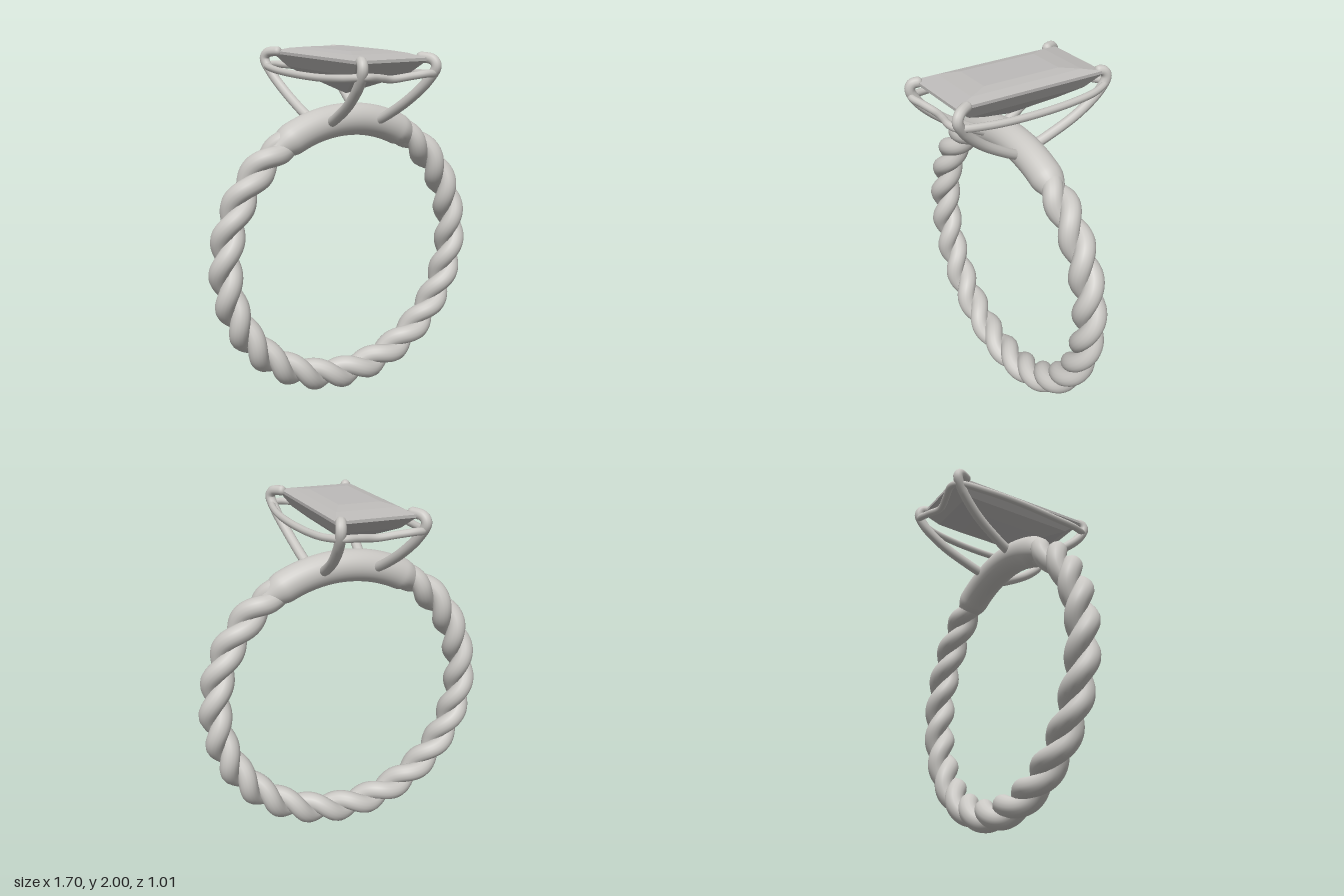
import * as THREE from 'three';
import { mergeVertices } from 'three/addons/utils/BufferGeometryUtils.js';

const metal = new THREE.MeshStandardMaterial({ name: 'metal', color: 0xc9c7c3 });
const stone = new THREE.MeshStandardMaterial({ name: 'stone', color: 0xbdbbb9 });

const CENTRE_Y = 0.852;
const RING_R = 0.76;
const rad = THREE.MathUtils.degToRad;

// Curve from a plain function of t
function curveOf(fn) {
  const curve = new THREE.Curve();
  curve.arcLengthDivisions = 1000;
  curve.getPoint = (t, target = new THREE.Vector3()) => target.copy(fn(t));
  return curve;
}

// Smooth tube; radiusAt(u, length) scales each ring about the path
function sweep(name, curve, segments, radius, sides, radiusAt, closed = false) {
  let geo = new THREE.TubeGeometry(curve, segments, radius, sides, closed);
  if (radiusAt) {
    const pos = geo.attributes.position;
    const v = new THREE.Vector3();
    const length = curve.getLength();
    for (let i = 0; i <= segments; i++) {
      const c = curve.getPointAt(i / segments);
      const k = radiusAt(i / segments, length);
      for (let j = 0; j <= sides; j++) {
        const n = i * (sides + 1) + j;
        v.fromBufferAttribute(pos, n).sub(c).multiplyScalar(k).add(c);
        pos.setXYZ(n, v.x, v.y, v.z);
      }
    }
  }
  geo.deleteAttribute('uv');
  geo.deleteAttribute('normal');
  geo = mergeVertices(geo, 1e-5);
  geo.computeVertexNormals();
  const mesh = new THREE.Mesh(geo, metal);
  mesh.name = name;
  return mesh;
}

// Point on the hoop: angle, radial offset, depth offset
function hoopPoint(angle, dr, dz) {
  const r = RING_R + dr;
  return new THREE.Vector3(r * Math.cos(angle), CENTRE_Y + r * Math.sin(angle), dz);
}

// One of the two twisted strands, converging where it enters the plain shoulder
function strand(phase) {
  const curve = curveOf((t) => {
    const deg = THREE.MathUtils.lerp(119, 421, t);
    const edge = Math.min(deg - 119, 421 - deg);
    const offset = 0.038 * THREE.MathUtils.lerp(0.6, 1, THREE.MathUtils.smoothstep(edge, 0, 10));
    const twist = 12 * rad(deg - 270) + Math.PI / 2 + phase;
    return hoopPoint(rad(deg), offset * Math.sin(twist), offset * Math.cos(twist));
  });
  return sweep('twistedStrand', curve, 480, 0.055, 16);
}

// Plain upper part of the hoop, tapering into the twist
function shoulder() {
  const curve = curveOf((t) => hoopPoint(rad(THREE.MathUtils.lerp(52, 128, t)), 0, 0));
  const taper = (u) => THREE.MathUtils.lerp(0.5, 1, THREE.MathUtils.smoothstep(Math.min(u, 1 - u), 0, 0.15));
  return sweep('shoulder', curve, 80, 0.09, 28, taper);
}

// Prong with domed ends
function prong(points) {
  const r = 0.028;
  const curve = new THREE.CatmullRomCurve3(points.map((p) => new THREE.Vector3(...p)));
  const dome = (u, length) => {
    const d = Math.min(1, (Math.min(u, 1 - u) * length) / r);
    return Math.sqrt(1 - (1 - d) ** 2);
  };
  return sweep('prong', curve, 140, r, 12, dome);
}

// Step-cut stone from stacked rectangles [halfWidth, y, halfDepth], top to bottom
function gem() {
  const layers = [
    [0.115, 2.0, 0.225],
    [0.17, 1.989, 0.33],
    [0.215, 1.968, 0.44],
    [0.215, 1.952, 0.44],
    [0.175, 1.885, 0.35],
    [0.115, 1.836, 0.23],
    [0, 1.755, 0],
  ];
  const corners = layers.map(([x, y, z]) => [[x, y, z], [x, y, -z], [-x, y, -z], [-x, y, z]]);
  const verts = [];
  const tri = (a, b, c) => verts.push(...a, ...b, ...c);
  const top = corners[0];
  tri(top[0], top[1], top[2]);
  tri(top[0], top[2], top[3]);
  for (let i = 0; i < corners.length - 1; i++) {
    const a = corners[i];
    const b = corners[i + 1];
    for (let k = 0; k < 4; k++) {
      const n = (k + 1) % 4;
      tri(a[k], b[k], a[n]);
      if (i < corners.length - 2) tri(a[n], b[k], b[n]);
    }
  }
  const geo = new THREE.BufferGeometry();
  geo.setAttribute('position', new THREE.Float32BufferAttribute(verts, 3));
  geo.computeVertexNormals();
  const mesh = new THREE.Mesh(geo, stone);
  mesh.name = 'gem';
  return mesh;
}

// Closed gallery wire around the stone, alike under a half turn
function galleryWire() {
  const half = [
    [0.25, 1.885, 0.455], [0.285, 1.875, 0.3], [0.295, 1.87, 0.08], [0.275, 1.87, -0.2],
    [0.245, 1.88, -0.38], [0.19, 1.89, -0.475], [0.1, 1.882, -0.46], [0, 1.868, -0.435],
    [-0.11, 1.88, -0.455], [-0.2, 1.89, -0.475],
  ];
  const all = [...half, ...half.map(([x, y, z]) => [-x, y, -z])];
  const curve = new THREE.CatmullRomCurve3(all.map((p) => new THREE.Vector3(...p)), true);
  return sweep('galleryWire', curve, 240, 0.02, 10, null, true);
}

export function createModel() {
  const model = new THREE.Group();
  model.name = 'ring';

  // Hoop
  const band = new THREE.Group();
  band.name = 'band';
  band.add(strand(0), strand(Math.PI), shoulder());

  // Setting: two prongs, repeated by a half turn
  const setting = new THREE.Group();
  setting.name = 'setting';
  for (const turn of [0, Math.PI]) {
    const pair = new THREE.Group();
    pair.name = 'prongPair';
    pair.rotation.y = turn;
    pair.add(
      prong([
        [-0.135, 1.6, 0.04], [-0.15, 1.65, 0.15], [-0.175, 1.74, 0.31], [-0.195, 1.85, 0.435],
        [-0.202, 1.925, 0.475], [-0.197, 1.957, 0.462], [-0.178, 1.965, 0.41],
      ]),
      prong([
        [0.17, 1.59, 0.04], [0.185, 1.64, 0.14], [0.212, 1.74, 0.3], [0.245, 1.85, 0.42],
        [0.262, 1.925, 0.463], [0.253, 1.957, 0.445], [0.205, 1.97, 0.365],
      ]),
    );
    setting.add(pair);
  }
  setting.add(galleryWire());

  model.add(band, setting, gem());
  return model;
}
